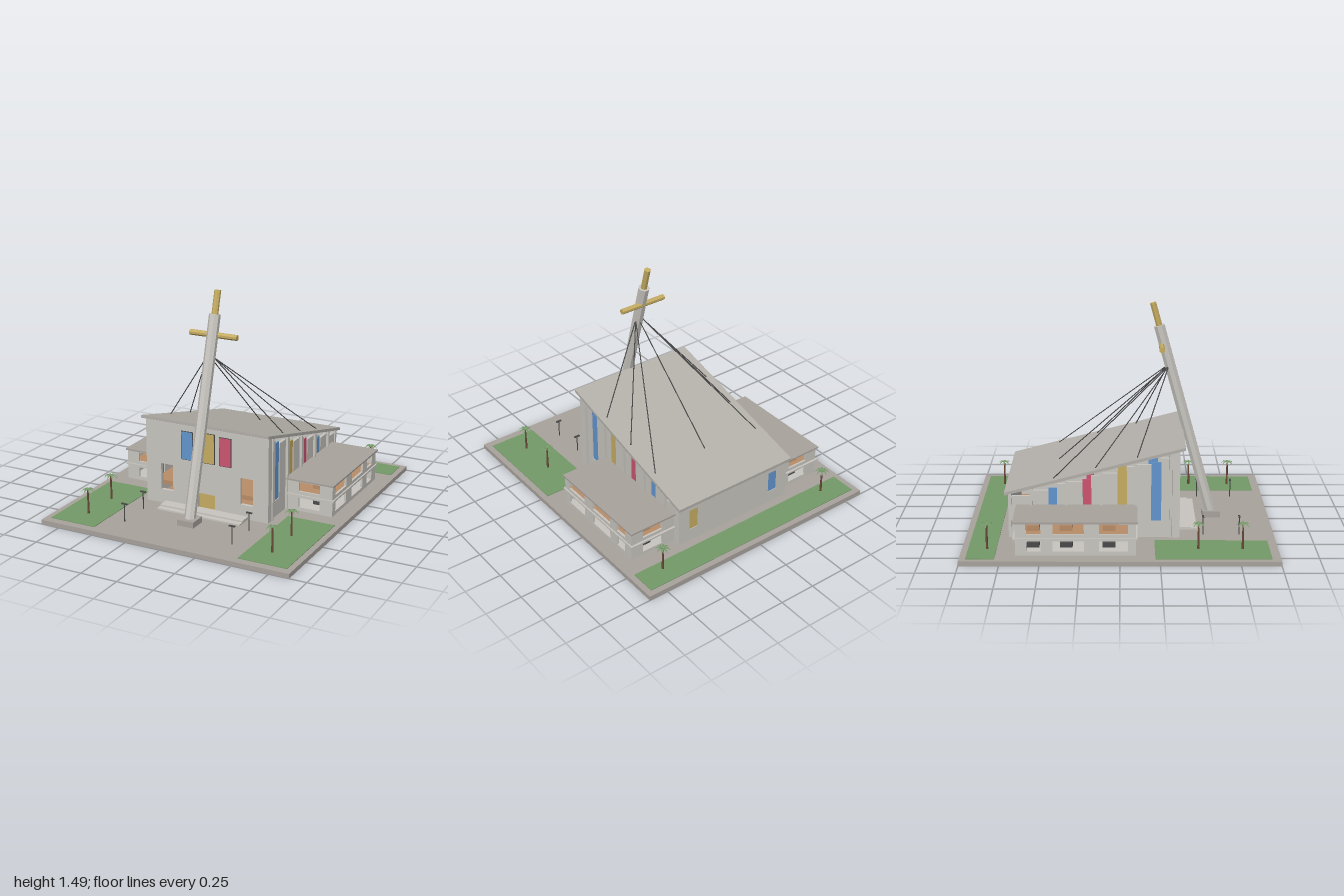
import * as THREE from 'three';

const mat = (name, color, extra = {}) => {
  const m = new THREE.MeshStandardMaterial({ color, ...extra });
  m.name = name;
  return m;
};

export function createModel() {
  const root = new THREE.Group();
  root.name = 'church';
  const M = {
    wall: mat('concrete', 0xc9c6c0, { flatShading: true }), roof: mat('roof', 0xb4b0aa),
    ground: mat('paving', 0xa9a39d), lawn: mat('green', 0x759a69, { side: THREE.DoubleSide }),
    blue: mat('blue glass', 0x6296d0), gold: mat('gold', 0xc6ad62, { flatShading: true }),
    red: mat('red glass', 0xcc5571), dark: mat('dark metal', 0x4a4a4a),
    wood: mat('wood floor', 0xb98d68), trunk: mat('trunk', 0x6b4a38),
  };
  const add = (name, geo, m, parent = root) => {
    const mesh = new THREE.Mesh(geo, m);
    mesh.name = name;
    parent.add(mesh);
    return mesh;
  };
  // Box from its limits; x limits may come in either order
  const box = (name, m, xa, xb, y0, y1, z0, z1, parent) => {
    const geo = new THREE.BoxGeometry(Math.abs(xb - xa), y1 - y0, Math.abs(z1 - z0));
    geo.translate((xa + xb) / 2, (y0 + y1) / 2, (z0 + z1) / 2);
    return add(name, geo, m, parent);
  };
  // Upright wall with rectangular holes [u0, u1, y0, y1]
  const rectPts = (u0, u1, y0, y1) => [[u0, y0], [u1, y0], [u1, y1], [u0, y1]].map(p => new THREE.Vector2(...p));
  const wallGeo = (u0, u1, y0, y1, holes, depth) => {
    const s = new THREE.Shape(rectPts(u0, u1, y0, y1));
    s.holes = holes.map(h => new THREE.Path(rectPts(...h).reverse()));
    return new THREE.ExtrudeGeometry(s, { depth, bevelEnabled: false });
  };
  // Round or many-sided bar between two points
  const bar = (name, m, a, b, r, sides, parent, turn = 0) => {
    const p = new THREE.Vector3(...a), q = new THREE.Vector3(...b);
    const geo = new THREE.CylinderGeometry(r, r, p.distanceTo(q), sides);
    geo.rotateY(turn);
    const mesh = add(name, geo, m, parent);
    mesh.position.copy(p).add(q).multiplyScalar(0.5);
    mesh.quaternion.setFromUnitVectors(new THREE.Vector3(0, 1, 0), q.sub(p).normalize());
    return mesh;
  };
  const G = 0.03;

  // Site
  box('groundSlab', M.ground, -0.885, 0.885, 0, G, -1, 1);
  box('backLawn', M.lawn, -0.845, 0.845, G, G + 0.004, -0.96, -0.78);
  for (const s of [-1, 1]) box('frontLawn', M.lawn, s * 0.515, s * 0.845, G, G + 0.004, 0.22, 0.945);
  box('lowerStep', M.wall, -0.305, 0.305, G, 0.04, 0.38, 0.505);
  box('upperStep', M.wall, -0.305, 0.305, G, 0.05, 0.38, 0.465);

  // Sloping roof
  const roofTop = z => 0.638 + (z - 0.42) * 0.2575;
  const under = z => roofTop(z) - 0.02;
  const roofShape = new THREE.Shape([
    [-0.42, under(0.42)], [0.745, under(-0.745)], [0.745, roofTop(-0.745)], [-0.42, roofTop(0.42)],
  ].map(p => new THREE.Vector2(...p)));
  const roofGeo = new THREE.ExtrudeGeometry(roofShape, { depth: 0.93, bevelEnabled: false });
  roofGeo.rotateY(Math.PI / 2).translate(-0.465, 0, 0);
  add('hallRoof', roofGeo, M.roof);

  // Hall front wall with two openings, entrance and three tall windows
  const hall = new THREE.Group();
  hall.name = 'hall';
  root.add(hall);
  add('frontWall', wallGeo(-0.45, 0.45, G, under(0.36),
    [[-0.34, -0.25, 0.125, 0.31], [0.25, 0.34, 0.125, 0.31], [-0.062, 0.062, 0.045, 0.15]], 0.025), M.wall, hall)
    .position.z = 0.36;
  box('entranceDoor', M.gold, -0.062, 0.062, 0.04, 0.15, 0.362, 0.37, hall);
  for (const [x, w, top, c] of [[-0.14, 0.04, 0.56, 'blue'], [0, 0.06, 0.57, 'gold'], [0.14, 0.04, 0.56, 'red']]) {
    box('windowFrame', M.dark, x - w - 0.004, x + w + 0.004, 0.366, top + 0.004, 0.384, 0.389, hall);
    box('frontWindow', M[c], x - w, x + w, 0.37, top, 0.384, 0.392, hall);
  }
  box('hallFloor', M.wood, -0.43, 0.43, G, 0.036, -0.7, 0.36, hall);
  box('gallery', M.wood, -0.42, 0.42, 0.14, 0.17, 0.05, 0.33, hall);

  // Hall back wall with two windows
  add('backWall', wallGeo(-0.45, 0.45, G, under(-0.72) - 0.002,
    [[-0.365, -0.295, 0.12, 0.27], [0.295, 0.365, 0.12, 0.27]], 0.02), M.wall, hall).position.z = -0.72;
  box('backWindow', M.blue, -0.365, -0.295, 0.12, 0.27, -0.716, -0.708, hall);
  box('backWindow', M.gold, 0.295, 0.365, 0.12, 0.27, -0.716, -0.708, hall);

  // Hall side walls: stepped panels, coloured glass strips and fins
  const fins = [0.325, 0.1, -0.12, -0.345, -0.57];
  const strips = [[0.265, 0.2, 'blue'], [0.045, -0.015, 'gold'], [-0.185, -0.24, 'red'], [-0.405, -0.46, 'blue']];
  for (const s of [-1, 1]) {
    const panel = (za, zb) =>
      box('sidePanel', M.wall, s * 0.42, s * 0.44, G, under(zb) - 0.018, zb, za, hall);
    box('cornerPier', M.wall, s * 0.42, s * 0.45, G, under(0.33), 0.335, 0.361, hall);
    strips.forEach(([za, zb, c], i) => {
      panel(fins[i], za);
      panel(zb, fins[i + 1]);
      box('stripSill', M.wall, s * 0.42, s * 0.44, G, 0.14, zb, za, hall);
      box('glassStrip', M[c], s * 0.426, s * 0.434, 0.14, under(zb) - 0.03, zb, za, hall);
    });
    panel(fins[4], -0.715);
    for (const z of fins) box('fin', M.wall, s * 0.42, s * 0.457, G, under(z - 0.008), z - 0.008, z + 0.008, hall);
  }

  // Two-storey side wings
  const bays = [[-0.05, 0.13], [0.225, 0.42], [0.495, 0.585]];
  for (const s of [-1, 1]) {
    const wing = new THREE.Group();
    wing.name = s > 0 ? 'leftWing' : 'rightWing';
    root.add(wing);
    const floors = [[G, 0.135, 0.055, 0.122], [0.145, 0.24, 0.167, 0.232]];
    floors.forEach(([y0, y1, h0, h1], i) => {
      const side = wallGeo(-0.1, 0.655, y0, y1, bays.map(b => [...b, h0, h1]), 0.015);
      side.rotateY(Math.PI / 2).translate(s > 0 ? 0.76 : -0.775, 0, 0);
      add('outerWall', side, M.wall, wing);
      const [a, b] = s > 0 ? [0.44, 0.765] : [-0.765, -0.44];
      const [c, d] = s > 0 ? [0.535, 0.685] : [-0.685, -0.535];
      for (const z of [0.086, -0.655])
        add('endWall', wallGeo(a, b, y0, y1, [[c, d, h0, h1]], 0.014), M.wall, wing).position.z = z;
      if (i) box('upperFloor', M.wood, s * 0.44, s * 0.76, 0.145, 0.15, -0.64, 0.086, wing);
      else box('lowerFloor', M.wall, s * 0.44, s * 0.76, G, 0.038, -0.64, 0.086, wing);
      // Tables inside each room
      [-0.06, -0.33, -0.54].forEach(z =>
        box('table', i ? M.wood : M.dark, s * 0.58, s * 0.66, y0 + 0.005, y0 + 0.04, z - 0.05, z + 0.03, wing));
    });
    box('floorSlab', M.wall, s * 0.44, s * 0.785, 0.133, 0.145, -0.67, 0.11, wing);
    box('wingRoof', M.ground, s * 0.44, s * 0.785, 0.238, 0.25, -0.67, 0.11, wing);
  }

  // Leaning eight-sided tower carrying a golden cross
  const tower = new THREE.Group();
  tower.name = 'tower';
  root.add(tower);
  const axis = y => [0, y, 0.61 - (y - 0.06) * 0.277];
  box('plinth', M.ground, -0.06, 0.06, G, 0.07, 0.555, 0.675, tower);
  bar('shaft', M.wall, axis(0.055), axis(1.338), 0.038, 8, tower, Math.PI / 8);
  bar('crossTop', M.gold, axis(1.32), axis(1.488), 0.022, 8, tower, Math.PI / 8);
  const [, ay, az] = axis(1.205);
  bar('crossArm', M.gold, [-0.17, ay, az - 0.02], [0.17, ay, az - 0.02], 0.019, 8, tower, Math.PI / 8);

  // Stay cables down to the roof
  for (const s of [-1, 1])
    for (const z of [0.11, -0.16, -0.43])
      bar('cable', M.dark, [s * 0.025, 1.07, 0.32], [s * 0.42, roofTop(z), z], 0.0035, 6);
  bar('cable', M.dark, [0, 1.07, 0.32], [0, roofTop(-0.41), -0.41], 0.0035, 6);

  // Palms and lamps
  const frond = new THREE.BufferGeometry();
  const pos = [], idx = [];
  [[0, 0, 0.003], [0.015, 0.01, 0.007], [0.032, 0.008, 0.006], [0.048, -0.006, 0.001]].forEach(([x, y, w], i) => {
    pos.push(x, y, -w, x, y, w);
    if (i) idx.push(2 * i - 2, 2 * i - 1, 2 * i, 2 * i - 1, 2 * i + 1, 2 * i);
  });
  frond.setAttribute('position', new THREE.Float32BufferAttribute(pos, 3));
  frond.setIndex(idx);
  frond.computeVertexNormals();
  for (const s of [-1, 1]) {
    for (const z of [0.495, 0.775, -0.84]) {
      const palm = new THREE.Group();
      palm.name = 'palm';
      palm.position.set(s * 0.667, G, z);
      root.add(palm);
      add('trunk', new THREE.CylinderGeometry(0.005, 0.008, 0.165, 8).translate(0, 0.0825, 0), M.trunk, palm);
      for (let i = 0; i < 8; i++) {
        const f = add('frond', frond, M.lawn, palm);
        f.position.y = 0.165;
        f.rotation.y = i * Math.PI / 4;
      }
    }
    for (const z of [0.54, 0.775]) {
      bar('lampPost', M.dark, [s * 0.39, G, z], [s * 0.39, 0.15, z], 0.0035, 6);
      box('lampHead', M.dark, s * 0.37, s * 0.41, 0.148, 0.156, z - 0.006, z + 0.006);
    }
  }
  return root;
}
